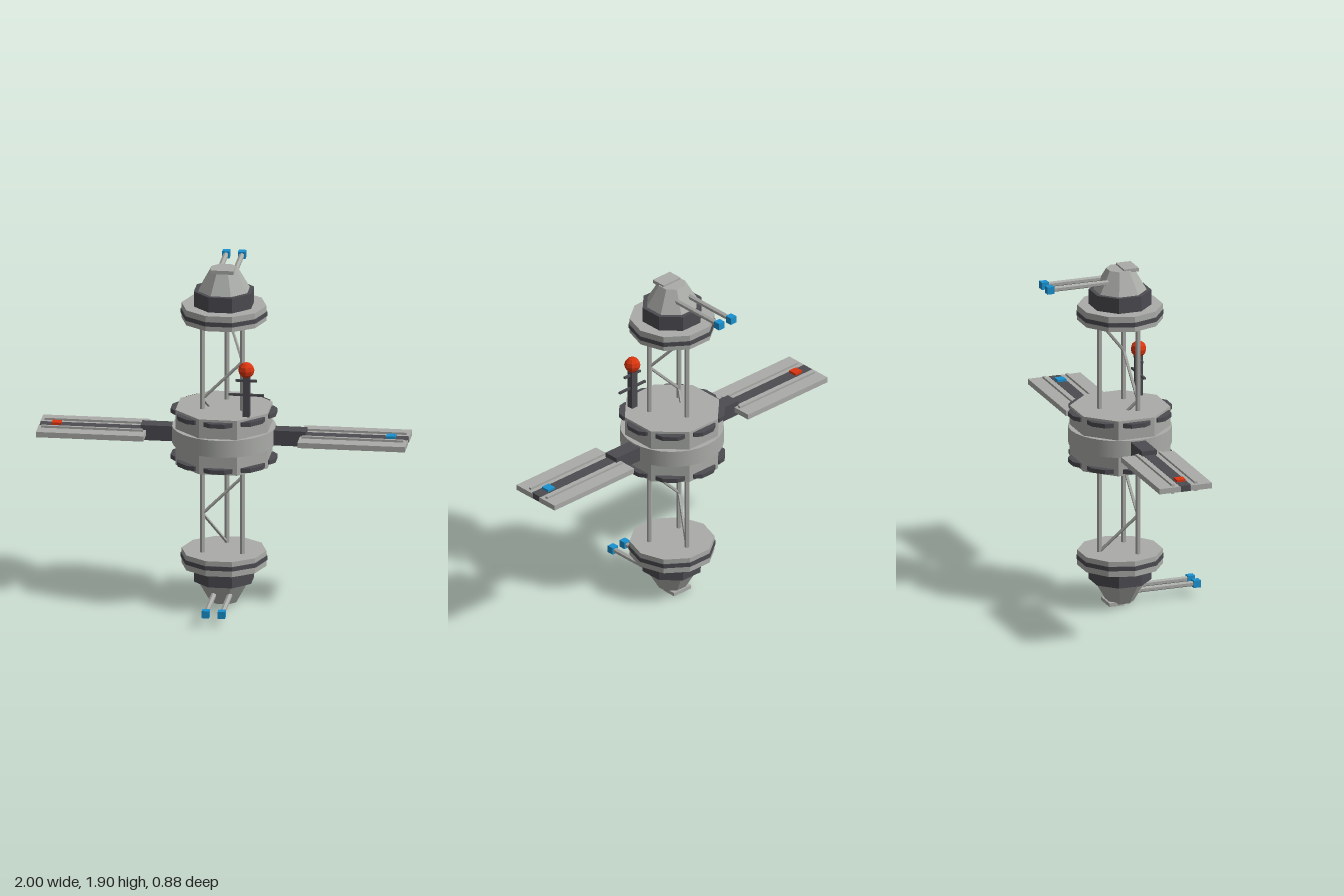
import * as THREE from 'three';

const MID = 0.95; // height of the station's centre

export function createModel() {
  const mat = (name, color) => {
    const m = new THREE.MeshStandardMaterial({ color });
    m.name = name;
    return m;
  };
  const hull = mat('hull grey', 0xaaaca8);
  const dark = mat('dark grey', 0x4b4b51);
  const red = mat('beacon red', 0xdb3510);
  const blue = mat('beacon blue', 0x1a92d0);

  // Faceted mesh
  const add = (parent, name, geo, material, x = 0, y = 0, z = 0) => {
    const g = geo.index ? geo.toNonIndexed() : geo;
    g.computeVertexNormals();
    const mesh = new THREE.Mesh(g, material);
    mesh.name = name;
    mesh.position.set(x, y, z);
    parent.add(mesh);
    return mesh;
  };
  const box = (w, h, d) => new THREE.BoxGeometry(w, h, d);
  // Prism or frustum with a flat side facing +z
  const prism = (rTop, rBottom, h, sides) =>
    new THREE.CylinderGeometry(rTop, rBottom, h, sides).rotateY(Math.PI / sides);
  // Straight rod between two points
  const rod = (parent, name, a, b, r, sides) => {
    const dir = b.clone().sub(a);
    const mesh = add(parent, name, new THREE.CylinderGeometry(r, r, dir.length(), sides), hull);
    mesh.position.copy(a).add(b).multiplyScalar(0.5);
    mesh.quaternion.setFromUnitVectors(new THREE.Vector3(0, 1, 0), dir.normalize());
  };
  const group = (parent, name) => {
    const g = new THREE.Group();
    g.name = name;
    parent.add(g);
    return g;
  };

  const model = new THREE.Group();
  model.name = 'spaceStation';

  // Central hub with a raised belt
  const hub = group(model, 'hub');
  hub.position.y = MID + 0.005;
  add(hub, 'hubBody', prism(0.27, 0.27, 0.31, 8), hull);
  const belt = new THREE.Mesh(new THREE.CylinderGeometry(0.279, 0.279, 0.095, 32), hull);
  belt.name = 'hubBelt';
  hub.add(belt);

  // Tapered vents on every hub side, in two rows
  const ventShape = new THREE.Shape([
    new THREE.Vector2(-0.078, 0.24), new THREE.Vector2(0.078, 0.24),
    new THREE.Vector2(0.078, 0.258), new THREE.Vector2(0.04, 0.284),
    new THREE.Vector2(-0.04, 0.284), new THREE.Vector2(-0.078, 0.258),
  ]);
  for (let i = 0; i < 8; i++) {
    for (const y of [-0.13, 0.13]) {
      const vent = new THREE.ExtrudeGeometry(ventShape, { depth: 0.024, bevelEnabled: false });
      vent.translate(0, 0, -0.012).rotateX(Math.PI / 2);
      add(hub, 'vent', vent, dark, 0, y, 0).rotation.y = (i * Math.PI) / 4;
    }
  }

  // Truss: three columns and a spiralling brace
  const truss = group(model, 'truss');
  const legs = [[0, -0.118], [0.108, 0.062], [-0.108, 0.062]];
  const legPoint = (i, y) => new THREE.Vector3(legs[i % 3][0], y, legs[i % 3][1]);
  for (let i = 0; i < 3; i++) rod(truss, 'column', legPoint(i, 0.28), legPoint(i, 1.62), 0.0145, 6);
  const step = 1.3 / 6;
  for (let i = 0; i < 6; i++) {
    rod(truss, 'brace', legPoint(i, 1.6 - i * step), legPoint(i + 1, 1.6 - (i + 1) * step), 0.009, 5);
  }

  // End pods, the lower one turned over
  for (const flip of [false, true]) {
    const pod = group(model, flip ? 'lowerPod' : 'upperPod');
    pod.position.y = MID;
    if (flip) pod.rotation.x = Math.PI;
    const plate = (r, h) => new THREE.CylinderGeometry(r, r, h, 10).rotateY(Math.PI / 2);
    add(pod, 'podPlate', plate(0.23, 0.085), hull, 0, 0.693);
    add(pod, 'podStripe', plate(0.235, 0.024), dark, 0, 0.69);
    add(pod, 'podNeck', prism(0.168, 0.168, 0.09, 8), dark, 0, 0.775);
    add(pod, 'podCone', prism(0.075, 0.144, 0.12, 8), hull, 0, 0.88);
    add(pod, 'podHatch', box(0.125, 0.02, 0.085), hull, 0, 0.94, 0.042);
    for (const x of [-0.043, 0.043]) {
      const boom = new THREE.CylinderGeometry(0.015, 0.015, 0.35, 6).rotateX(Math.PI / 2);
      add(pod, 'boom', boom, hull, x, 0.88, -0.235);
      add(pod, 'boomTip', box(0.04, 0.04, 0.04), blue, x, 0.88, -0.42);
    }
  }

  // Side wings with arm, spine, panels and navigation light
  for (const s of [1, -1]) {
    const wing = group(model, s > 0 ? 'leftWing' : 'rightWing');
    wing.position.y = MID + 0.003;
    add(wing, 'wingArm', box(0.25, 0.084, 0.084), dark, s * 0.322);
    add(wing, 'wingSpine', box(0.56, 0.034, 0.064), dark, s * 0.715);
    for (const z of [-1, 1]) {
      add(wing, 'wingPanel', box(0.582, 0.03, 0.122), hull, s * 0.708, 0, z * 0.09);
      add(wing, 'wingRib', box(0.55, 0.054, 0.016), hull, s * 0.705, 0, z * 0.066);
    }
    add(wing, 'wingEndBar', box(0.018, 0.042, 0.13), hull, s * 0.983).scale.y = 0.7;
    const lamp = new THREE.CylinderGeometry(0.035, 0.035, 0.06, 4).rotateY(Math.PI / 4);
    add(wing, 'wingLight', lamp, s > 0 ? blue : red, s * 0.905);
  }

  // Antenna mast with crossbars and beacon
  const mast = group(model, 'mast');
  mast.position.set(0.142, 0, 0.16);
  add(mast, 'mastPole', box(0.038, 0.24, 0.038), dark, 0, 1.225);
  add(mast, 'longCrossbar', box(0.19, 0.012, 0.012), dark, 0, 1.23);
  add(mast, 'shortCrossbar', box(0.115, 0.012, 0.012), dark, 0, 1.31);
  add(mast, 'beacon', new THREE.SphereGeometry(0.044, 8, 6), red, 0, 1.37);

  return model;
}
